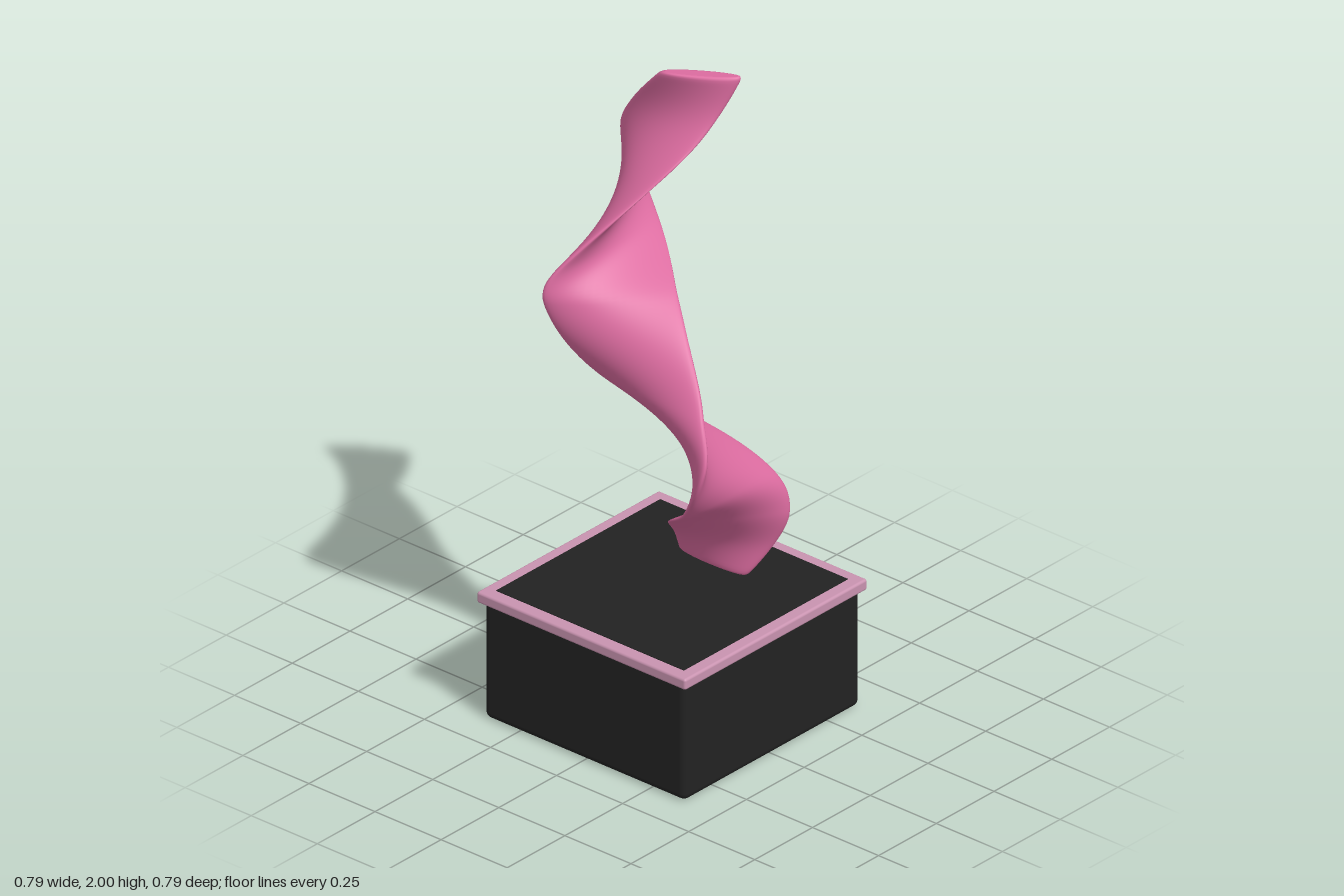
import * as THREE from 'three';
import { RoundedBoxGeometry } from 'three/addons/geometries/RoundedBoxGeometry.js';

// Horizontal slices of the ribbon: height, centre x, centre z, direction (degrees), width
const SLICES = [
  [0.42, 0.01, -0.17, 0, 0.25],
  [0.53, 0.065, -0.15, -24, 0.30],
  [0.65, 0.137, -0.09, -53, 0.355],
  [0.78, 0.197, -0.015, -90, 0.38],
  [0.98, 0.16, 0.105, -142, 0.41],
  [1.13, 0.06, 0.165, -180, 0.40],
  [1.38, -0.088, 0.165, -226, 0.385],
  [1.50, -0.175, 0.065, -268, 0.39],
  [1.68, -0.197, -0.062, -319, 0.36],
  [1.83, -0.135, -0.14, -360, 0.29],
  [2.00, -0.03, -0.163, -393, 0.235],
];

// Smooth interpolation of the slices at height y
function sliceAt(y) {
  const last = SLICES.length - 1;
  let i = 0;
  while (i < last - 1 && y > SLICES[i + 1][0]) i++;
  const slope = (j, c) => {
    const a = SLICES[Math.max(j - 1, 0)], b = SLICES[Math.min(j + 1, last)];
    return (b[c] - a[c]) / (b[0] - a[0]);
  };
  const p = SLICES[i], q = SLICES[i + 1], h = q[0] - p[0];
  const t = (y - p[0]) / h, t2 = t * t, t3 = t2 * t;
  return [1, 2, 3, 4].map((c) =>
    (2 * t3 - 3 * t2 + 1) * p[c] + (t3 - 2 * t2 + t) * h * slope(i, c) +
    (3 * t2 - 2 * t3) * q[c] + (t3 - t2) * h * slope(i + 1, c));
}

// Thin rounded blade that twists against its winding path
function ribbonGeometry() {
  const sides = 48, steps = 160, bottom = 0.42, top = 2, round = 0.015;
  const heights = [];
  for (let i = 0; i <= steps; i++) heights.push(bottom + (top - bottom) * i / steps);
  heights.splice(1, 0, bottom + 0.002, bottom + 0.005);
  heights.splice(-1, 0, top - 0.005, top - 0.002);

  const pos = [], index = [];
  const addRing = (y) => {
    const [cx, cz, degrees, width] = sliceAt(y);
    const a = THREE.MathUtils.degToRad(degrees);
    const e = Math.min(1, Math.min(y - bottom, top - y) / round);
    const inset = 0.011 * (1 - Math.sqrt(Math.max(0, 1 - (1 - e) ** 2)));
    for (let k = 0; k < sides; k++) {
      const s = k / sides * Math.PI * 2;
      const u = Math.cos(s) * (width / 2 - inset);
      const v = Math.sign(Math.sin(s)) * Math.abs(Math.sin(s)) ** 0.85 * (0.026 - inset);
      pos.push(cx + u * Math.cos(a) - v * Math.sin(a), y, cz + u * Math.sin(a) + v * Math.cos(a));
    }
  };
  heights.forEach(addRing);
  for (let i = 0; i < heights.length - 1; i++) {
    for (let k = 0; k < sides; k++) {
      const a = i * sides + k, b = i * sides + (k + 1) % sides;
      index.push(a, a + sides, b, b, a + sides, b + sides);
    }
  }
  // Flat ends
  for (const y of [bottom, top]) {
    const start = pos.length / 3;
    addRing(y);
    for (let k = 1; k < sides - 1; k++) {
      if (y === top) index.push(start, start + k + 1, start + k);
      else index.push(start, start + k, start + k + 1);
    }
  }
  const geometry = new THREE.BufferGeometry();
  geometry.setAttribute('position', new THREE.Float32BufferAttribute(pos, 3));
  geometry.setIndex(index);
  geometry.computeVertexNormals();
  return geometry;
}

export function createModel() {
  const group = new THREE.Group();
  group.name = 'twistedRibbonSculpture';
  const material = (name, color) => {
    const m = new THREE.MeshStandardMaterial({ color });
    m.name = name;
    return m;
  };
  const pink = material('ribbonPink', 0xdc6ca0);
  const mauve = material('trimMauve', 0xc993b0);
  const black = material('plinthBlack', 0x222222);

  const add = (name, geometry, mat, y = 0) => {
    const mesh = new THREE.Mesh(geometry, mat);
    mesh.name = name;
    mesh.position.y = y;
    group.add(mesh);
  };

  // Plinth, its rim and the dark panel set into the top
  add('plinth', new RoundedBoxGeometry(0.762, 0.4, 0.762, 4, 0.022), black, 0.2);
  add('rim', new RoundedBoxGeometry(0.79, 0.036, 0.79, 3, 0.008), mauve, 0.393);
  add('topPanel', new THREE.BoxGeometry(0.71, 0.006, 0.71), black, 0.41);

  // Ribbon, with a short pin holding it to the panel
  add('ribbon', ribbonGeometry(), pink);
  const pin = new THREE.CylinderGeometry(0.01, 0.01, 0.02, 16);
  pin.translate(0.01, 0, -0.17);
  add('mountingPin', pin, black, 0.416);
  return group;
}
